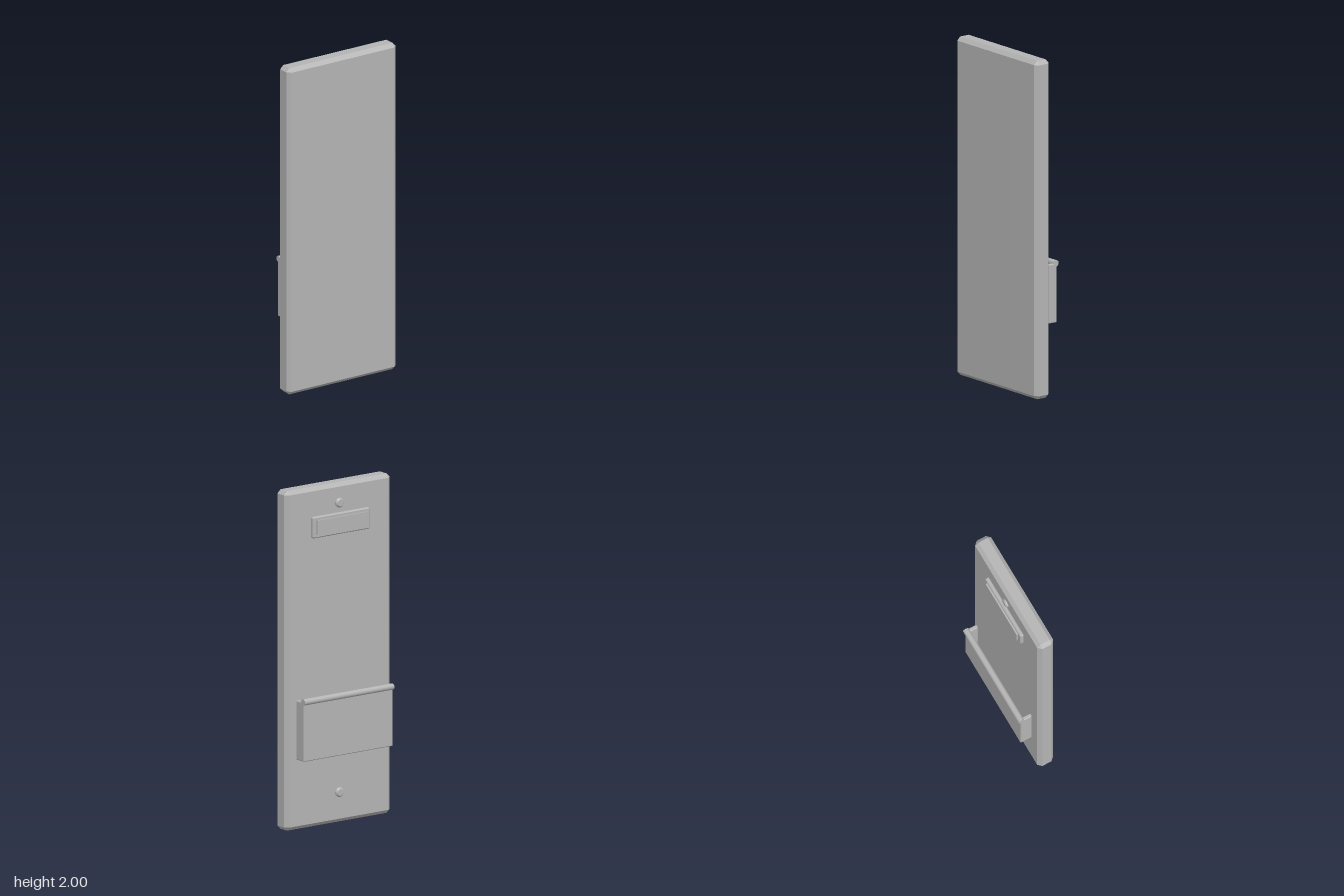
import * as THREE from 'three';
import { ConvexGeometry } from 'three/addons/geometries/ConvexGeometry.js';

const grey = new THREE.MeshStandardMaterial({ color: 0xb4b4b4 });
grey.name = 'plain grey';

// Box between two corners with every edge chamfered by c
function chamferBox(name, [x0, y0, z0], [x1, y1, z1], c) {
  const half = [(x1 - x0) / 2, (y1 - y0) / 2, (z1 - z0) / 2];
  const points = [];
  for (const sx of [-1, 1]) for (const sy of [-1, 1]) for (const sz of [-1, 1]) {
    for (let face = 0; face < 3; face++) {
      const [x, y, z] = half.map((h, i) => (i === face ? h : h - c));
      points.push(new THREE.Vector3(sx * x, sy * y, sz * z));
    }
  }
  const mesh = new THREE.Mesh(new ConvexGeometry(points), grey);
  mesh.name = name;
  mesh.position.set((x0 + x1) / 2, (y0 + y1) / 2, (z0 + z1) / 2);
  return mesh;
}

export function createModel() {
  const model = new THREE.Group();
  model.name = 'panelWithTray';

  // Main slab
  model.add(chamferBox('panel', [-0.38, 0, -0.002], [0.38, 2, 0.103], 0.022));

  // Label holder on the back: frame and raised insert
  model.add(chamferBox('labelFrame', [-0.205, 1.705, -0.025], [0.205, 1.83, 0], 0.006));
  const insert = new THREE.Mesh(new THREE.BoxGeometry(0.36, 0.085, 0.015), grey);
  insert.name = 'labelInsert';
  insert.position.set(0, 1.7675, -0.0275);
  model.add(insert);

  // Open-topped tray on the back
  const tray = new THREE.Group();
  tray.name = 'tray';
  tray.add(chamferBox('trayPlate', [-0.322, 0.42, -0.09], [0.322, 0.77, -0.073], 0.004));
  tray.add(chamferBox('trayFloor', [-0.322, 0.42, -0.086], [0.322, 0.44, -0.019], 0.005));
  for (const s of [-1, 1]) {
    tray.add(chamferBox('traySide', [s * 0.311 - 0.011, 0.42, -0.086], [s * 0.311 + 0.011, 0.77, -0.015], 0.005));
  }
  const rod = new THREE.Mesh(new THREE.CylinderGeometry(0.0185, 0.0185, 0.644, 24), grey);
  rod.name = 'trayLip';
  rod.rotation.z = Math.PI / 2;
  rod.position.set(0, 0.77, -0.0845);
  tray.add(rod);
  model.add(tray);

  // Low tapered screw heads above and below
  for (const y of [0.18, 1.885]) {
    const screw = new THREE.Group();
    screw.name = 'screw';
    const base = new THREE.Mesh(new THREE.CylinderGeometry(0.028, 0.028, 0.007, 24), grey);
    base.name = 'screwBase';
    base.position.y = 0.0035;
    const cap = new THREE.Mesh(new THREE.CylinderGeometry(0.02, 0.028, 0.008, 24), grey);
    cap.name = 'screwCap';
    cap.position.y = 0.011;
    screw.add(base, cap);
    screw.rotation.x = -Math.PI / 2;
    screw.position.set(0, y, -0.002);
    model.add(screw);
  }
  return model;
}
